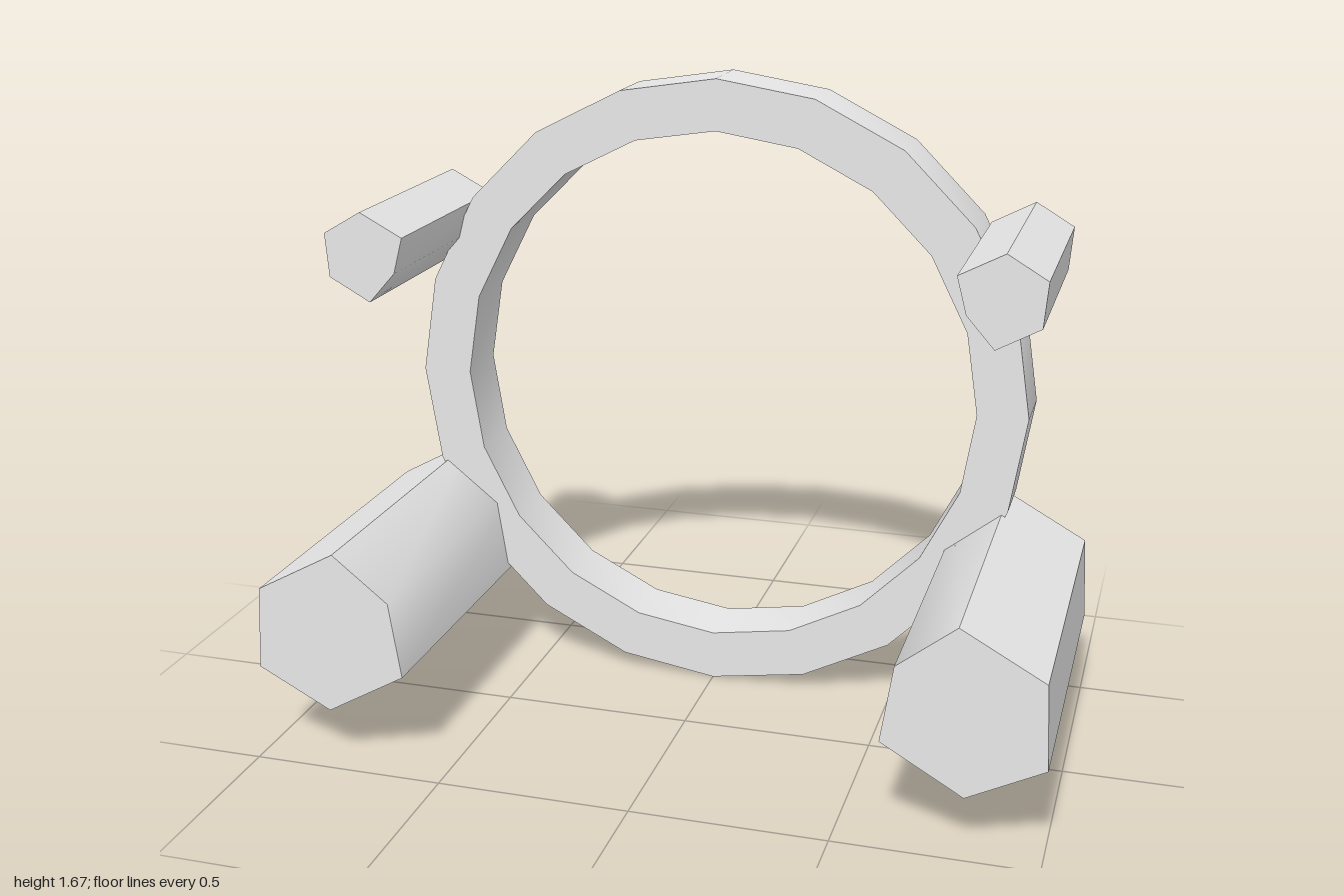
import * as THREE from 'three';
import { toCreasedNormals } from 'three/addons/utils/BufferGeometryUtils.js';

const BACK = -0.457;

// Corners of a regular outline, anticlockwise from a corner at the top
function circlePoints(radius, sides) {
  return Array.from({ length: sides }, (_, i) => {
    const a = (i / sides) * Math.PI * 2;
    return new THREE.Vector2(-Math.sin(a) * radius, Math.cos(a) * radius);
  });
}

// Straight extrusion from the common back plane, softened on shallow edges
function extrude(shape, depth) {
  const geometry = new THREE.ExtrudeGeometry(shape, { depth, bevelEnabled: false });
  geometry.translate(0, 0, BACK);
  return toCreasedNormals(geometry, 0.82);
}

export function createModel() {
  const model = new THREE.Group();
  model.name = 'ringWithPegs';
  const grey = new THREE.MeshStandardMaterial({ color: 0xe7e7e7 });
  grey.name = 'light grey';

  const add = (name, geometry) => {
    const mesh = new THREE.Mesh(geometry, grey);
    mesh.name = name;
    model.add(mesh);
    return mesh;
  };

  // Upright twenty-sided ring
  const ringShape = new THREE.Shape(circlePoints(0.837, 20));
  ringShape.holes.push(new THREE.Path(circlePoints(0.703, 20)));
  add('ring', extrude(ringShape, 0.175)).position.y = 0.837;

  // Six-sided pegs, mirrored left and right
  const pegs = [
    ['LowerPeg', 0.916, [[0.78, 0.57], [0.988, 0.455], [1, 0.238], [0.81, 0.14], [0.605, 0.258], [0.635, 0.455]]],
    ['UpperPeg', 0.602, [[0.807, 1.368], [0.907, 1.309], [0.898, 1.196], [0.79, 1.137], [0.72, 1.216], [0.695, 1.309]]],
  ];
  for (const [name, depth, corners] of pegs) {
    for (const [side, sign] of [['left', 1], ['right', -1]]) {
      const points = corners.map(([x, y]) => new THREE.Vector2(x * sign, y));
      add(side + name, extrude(new THREE.Shape(points), depth));
    }
  }
  return model;
}
